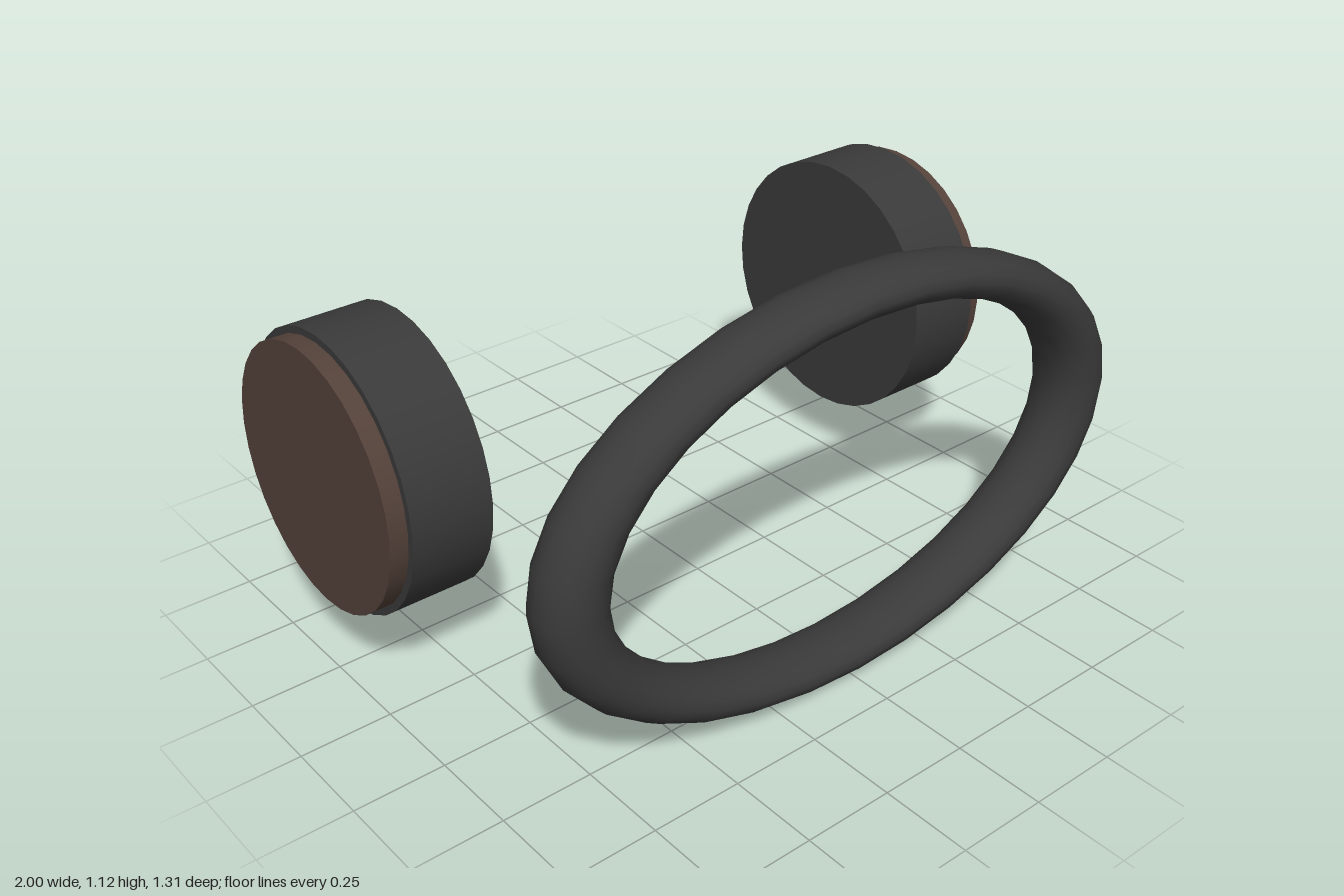
import * as THREE from 'three';

export function createModel() {
  const model = new THREE.Group();
  const dark = new THREE.MeshStandardMaterial({ color: 0x3a3a3a });
  const brown = new THREE.MeshStandardMaterial({ color: 0x55402f });
  brown.color.set(0x54423a);
  const midY = 0.56;

  // Oval ring: a torus squashed vertically
  const ringGeometry = new THREE.TorusGeometry(0.837, 0.093, 16, 32);
  ringGeometry.scale(1, midY / 0.93, 1);
  const ring = new THREE.Mesh(ringGeometry, dark);
  ring.name = 'ovalRing';
  ring.position.set(0, midY, 0.562);
  model.add(ring);

  // Disc lying across the x axis between two distances from the centre
  function disc(name, radius, inner, outer, side, material) {
    const geometry = new THREE.CylinderGeometry(radius, radius, outer - inner, 32);
    geometry.rotateZ(-side * Math.PI / 2);
    const mesh = new THREE.Mesh(geometry, material);
    mesh.name = name;
    mesh.position.x = side * (inner + outer) / 2;
    return mesh;
  }

  // Side pads: thick dark cushion with a slimmer brown cap outside
  for (const side of [1, -1]) {
    const pad = new THREE.Group();
    pad.name = side > 0 ? 'leftPad' : 'rightPad';
    pad.position.set(0, midY, -0.275);
    pad.add(disc('cushion', 0.38, 0.725, 0.95, side, dark));
    pad.add(disc('outerCap', 0.36, 0.9, 1, side, brown));
    model.add(pad);
  }

  return model;
}
